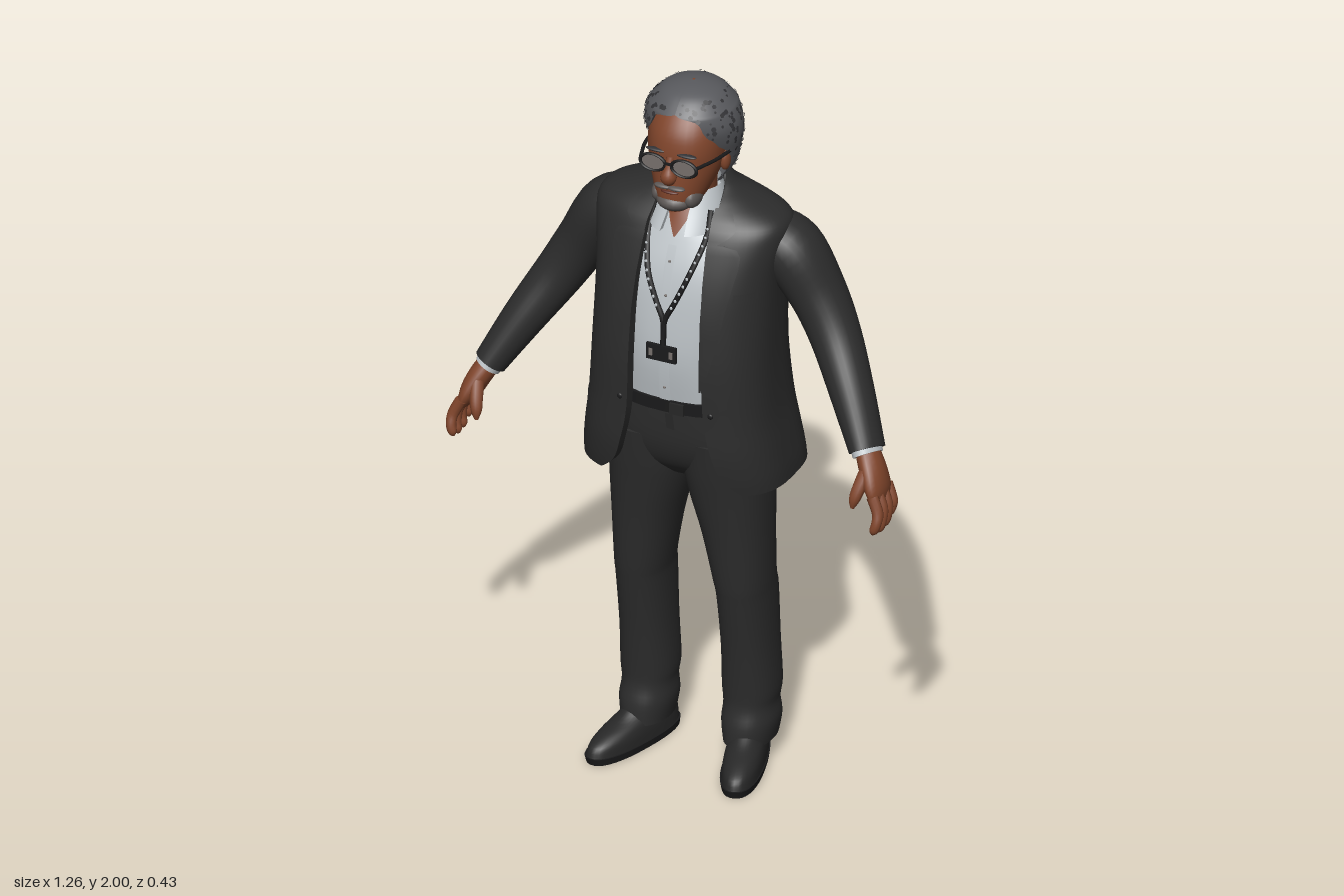
import * as THREE from 'three';
import { mergeGeometries } from 'three/addons/utils/BufferGeometryUtils.js';

const V = (x, y, z) => new THREE.Vector3(x, y, z);
const mat = (name, color) => new THREE.MeshStandardMaterial({ name, color, side: THREE.DoubleSide });

// Surface through rows of points; optionally closed around and capped at the ends
function skin(rows, around = true) {
  const n = rows[0].length, pos = rows.flat(), idx = [];
  for (let i = 0; i < rows.length - 1; i++) {
    for (let j = 0; j < (around ? n : n - 1); j++) {
      const k = (j + 1) % n, a = i * n + j, b = i * n + k;
      idx.push(a, b, a + n, b, b + n, a + n);
    }
  }
  if (around) [0, rows.length - 1].forEach((i) => {
    const base = pos.length, mid = V(0, 0, 0);
    rows[i].forEach((p) => mid.addScaledVector(p, 1 / n));
    pos.push(...rows[i], mid);
    for (let j = 0; j < n; j++) {
      const a = base + j, b = base + (j + 1) % n;
      idx.push(...(i ? [a, b, base + n] : [b, a, base + n]));
    }
  });
  // Turn the faces outward by the sign of the enclosed volume
  const c = V(0, 0, 0);
  pos.forEach((p) => c.addScaledVector(p, 1 / pos.length));
  let vol = 0;
  for (let i = 0; i < idx.length; i += 3) {
    const [p, q, r] = [0, 1, 2].map((k) => pos[idx[i + k]].clone().sub(c));
    vol += p.dot(q.cross(r));
  }
  if (vol < 0) idx.reverse();
  const g = new THREE.BufferGeometry().setFromPoints(pos);
  g.setIndex(idx);
  g.computeVertexNormals();
  return g;
}

// Smoothly resample a list of numeric rows
function fine(rows, k = 4) {
  const out = [], at = (i) => rows[Math.max(0, Math.min(rows.length - 1, i))];
  for (let i = 0; i < rows.length - 1; i++) {
    for (let s = 0; s < k; s++) {
      const t = s / k;
      out.push(rows[i].map((p1, c) => {
        const p0 = at(i - 1)[c], p2 = at(i + 1)[c], p3 = at(i + 2)[c];
        return p1 + 0.5 * t * (p2 - p0 + t * (2 * p0 - 5 * p1 + 4 * p2 - p3 + t * (3 * (p1 - p2) + p3 - p0)));
      }));
    }
  }
  return [...out, rows[rows.length - 1]];
}

// Point on a horizontal superellipse ring [y, halfWidth, zFront, zBack, power]
function ringPoint([y, w, zf, zb, n], a, cx = 0, s = 1) {
  const f = (v) => Math.sign(v) * Math.abs(v) ** (2 / n);
  return V(s * (cx + w * f(Math.cos(a))), y, (zf + zb) / 2 + (zf - zb) / 2 * f(Math.sin(a)));
}
// Closed body; sixth number is the x centre
const loft = (rings, s = 1, seg = 36) => skin(fine(rings).map((r) =>
  Array.from({ length: seg }, (_, j) => ringPoint(r, j / seg * Math.PI * 2, r[5] || 0, s))));

// Half shell from the back opening to the front opening, with turned-in edges
function shell(rings, s, dx = 0, seg = 26) {
  const rows = fine(rings).map((r) => {
    const cut = (e) => Math.acos(Math.min(1, (Math.max(0, e) / r[1]) ** (r[4] / 2)));
    const a0 = -cut(r[6] || 0), a1 = cut(r[5] > 0.001 ? r[5] + dx : 0);
    return Array.from({ length: seg + 1 }, (_, j) => ringPoint(r, a0 + (a1 - a0) * j / seg, 0, s));
  });
  const fold = (j) => skin(rows.map((r) => [r[j], V(r[j].x * 0.97, r[j].y, r[j].z * 0.86)]), false);
  return mergeGeometries([skin(rows, false), fold(0), fold(seg)]);
}

// Front depth of a ringed body at x, y
function frontZ(rings, x, y) {
  let i = 0;
  while (i < rings.length - 2 && rings[i + 1][0] < y) i++;
  const t = (y - rings[i][0]) / (rings[i + 1][0] - rings[i][0]);
  const [, w, zf, zb, n] = rings[i].map((v, c) => v + (rings[i + 1][c] - v) * t);
  return (zf + zb) / 2 + (zf - zb) / 2 * Math.max(0, 1 - Math.abs(x / w) ** n) ** (1 / n);
}
// Thin plate following the front of a body; rows are [y, x0, x1]
const patch = (rings, rows, off = 0.006, s = 1, dx = 0) => skin(fine(rows, 3).map(([y, x0, x1]) =>
  Array.from({ length: 7 }, (_, j) => {
    const x = x0 + (x1 - x0) * j / 6 + dx;
    return V(s * x, y, frontZ(rings, x, y) + off);
  })), false);

// Limb along points [x, y, z, radiusAcross, radiusDeep]
function limb(pts, s = 1, seg = 16, k = 4) {
  const f = fine(pts, k), P = f.map((p) => V(p[0], p[1], p[2]));
  return skin(f.map((p, i) => {
    const T = P[Math.min(i + 1, P.length - 1)].clone().sub(P[Math.max(i - 1, 0)]).normalize();
    const N = T.clone().cross(V(0, 0, 1)).normalize(), B = N.clone().cross(T);
    return Array.from({ length: seg }, (_, j) => {
      const a = j / seg * Math.PI * 2;
      const q = P[i].clone().addScaledVector(N, p[3] * Math.cos(a)).addScaledVector(B, p[4] * Math.sin(a));
      return q.setX(q.x * s);
    });
  }));
}
const tube = (pts, r) => new THREE.TubeGeometry(new THREE.CatmullRomCurve3(pts), 20, r, 6);
const ball = (x, y, z, a, b, c) => new THREE.SphereGeometry(1, 20, 14).scale(a, b, c).translate(x, y, z);
const box = (x, y, z, a, b, c) => new THREE.BoxGeometry(a, b, c).translate(x, y, z);

export function createModel() {
  const root = new THREE.Group();
  root.name = 'suitedMan';
  const suit = mat('suit', 0x2c2c2c), shirt = mat('shirt', 0xbcc2c6), skinTone = mat('skin', 0x80452b);
  const hair = mat('hair', 0x58595d), fleck = mat('hairFleck', 0x333336), beard = mat('beard', 0x5b5654);
  const black = mat('black', 0x1b1b1c), shoe = mat('shoe', 0x272727), lens = mat('lens', 0x77706c);
  const lip = mat('lip', 0x59291f);
  const add = (name, geo, m) => {
    const mesh = new THREE.Mesh(geo, m);
    mesh.name = name;
    root.add(mesh);
  };

  // Body profiles
  const jacket = [
    [0.885, 0.285, 0.19, -0.21, 3, 0.2, 0.03], [0.93, 0.282, 0.2, -0.205, 3, 0.155, 0.025],
    [1.0, 0.272, 0.21, -0.195, 3, 0.13, 0.015], [1.1, 0.258, 0.212, -0.18, 3, 0.11, 0],
    [1.25, 0.25, 0.215, -0.17, 2.8, 0.104, 0], [1.4, 0.25, 0.2, -0.175, 2.6, 0.102, 0],
    [1.5, 0.256, 0.175, -0.175, 2.6, 0.098, 0], [1.58, 0.268, 0.145, -0.165, 2.5, 0.094, 0],
    [1.625, 0.266, 0.122, -0.152, 2.4, 0.092, 0], [1.652, 0.236, 0.1, -0.138, 2.3, 0.09, 0],
    [1.678, 0.17, 0.075, -0.122, 2.2, 0.088, 0], [1.702, 0.115, 0.055, -0.105, 2, 0.082, 0],
    [1.735, 0.085, 0.035, -0.085, 2, 0.07, 0]];
  const shirtRings = [[1.1, 0.2, 0.165, -0.13, 2.4], [1.25, 0.18, 0.185, -0.13, 2.4], [1.4, 0.2, 0.175, -0.13, 2.4],
    [1.5, 0.2, 0.155, -0.13, 2.4], [1.58, 0.16, 0.122, -0.12, 2.2], [1.64, 0.092, 0.09, -0.09, 2], [1.68, 0.072, 0.065, -0.07, 2]];
  const shirtZ = (x, y) => frontZ(shirtRings, x, y);

  // Shirt, neck and trouser top
  add('shirt', loft(shirtRings), shirt);
  add('shirtPlacket', patch(shirtRings, [[1.13, -0.015, 0.015], [1.35, -0.015, 0.015], [1.57, -0.012, 0.012]], 0.004), shirt);
  for (let i = 0; i < 5; i++) add('shirtButton', ball(0, 1.17 + i * 0.09, shirtZ(0, 1.17 + i * 0.09) + 0.005, 0.004, 0.004, 0.003), lens);
  add('openNeck', patch(shirtRings, [[1.59, -0.002, 0.002], [1.63, -0.024, 0.024], [1.67, -0.042, 0.042]], 0.005), skinTone);
  add('neck', loft([[1.58, 0.065, 0.075, -0.06, 2], [1.68, 0.062, 0.08, -0.065, 2], [1.76, 0.068, 0.1, -0.06, 2]]), skinTone);
  add('trouserSeat', loft([[0.87, 0.14, 0.09, -0.1, 2.2], [0.92, 0.2, 0.135, -0.132, 2.5],
    [1.0, 0.215, 0.16, -0.15, 2.6], [1.12, 0.2, 0.166, -0.14, 2.5]]), suit);
  add('belt', loft([[1.095, 0.203, 0.175, -0.142, 2.5], [1.13, 0.203, 0.177, -0.142, 2.5]]), black);
  add('beltBuckle', box(0.035, 1.112, 0.178, 0.04, 0.032, 0.008), shoe);
  add('fly', patch([[0.84, 0.21, 0.12, -0.1, 2.5], [1.1, 0.21, 0.171, -0.14, 2.5]], [[0.95, -0.002, 0.003], [1.0, -0.002, 0.02], [1.09, -0.002, 0.02]], 0.004), suit);

  for (const s of [1, -1]) {
    const side = s > 0 ? 'left' : 'right', dx = s * 0.014;
    const addSide = (name, geo, m) => add(side + name, geo, m);

    // Jacket half with lapel, pocket and button
    addSide('Jacket', shell(jacket, s, dx), suit);
    addSide('Lapel', patch(jacket, [[1.2, 0.102, 0.106], [1.3, 0.1, 0.135], [1.45, 0.096, 0.16], [1.575, 0.09, 0.178], [1.6, 0.088, 0.135]], 0.009, s, dx), suit);
    addSide('JacketCollar', patch(jacket, [[1.6, 0.09, 0.115], [1.63, 0.088, 0.152], [1.655, 0.084, 0.14], [1.675, 0.083, 0.12]], 0.009, s, dx), suit);
    addSide('PocketFlap', patch(jacket, [[1.07, 0.16, 0.235], [1.105, 0.16, 0.235]], 0.007, s), suit);
    addSide('JacketButton', ball(s * (0.13 + dx), 1.13, frontZ(jacket, 0.13, 1.13) + 0.002, 0.008, 0.008, 0.004), black);
    addSide('ShirtCollar', shell([[1.605, 0.1, 0.142, -0.07, 2, 0.035], [1.66, 0.088, 0.098, -0.08, 2, 0.03], [1.705, 0.074, 0.07, -0.075, 2, 0.04]], s), shirt);

    // Sleeve, cuff and hand
    addSide('Sleeve', limb([[0.19, 1.58, -0.038, 0.062, 0.085], [0.26, 1.535, -0.042, 0.084, 0.094], [0.335, 1.42, -0.045, 0.074, 0.082],
      [0.398, 1.315, -0.022, 0.067, 0.071], [0.472, 1.195, 0.035, 0.057, 0.063], [0.542, 1.072, 0.092, 0.044, 0.057]], s, 28, 5), suit);
    addSide('Cuff', limb([[0.53, 1.09, 0.085, 0.037, 0.049], [0.547, 1.062, 0.097, 0.036, 0.049]], s, 24), shirt);
    addSide('Palm', limb([[0.54, 1.075, 0.09, 0.03, 0.036], [0.566, 1.03, 0.108, 0.031, 0.047], [0.586, 0.985, 0.12, 0.026, 0.055],
      [0.597, 0.955, 0.124, 0.014, 0.049]], s), skinTone);
    [0, 1, 2, 3].forEach((i) => {
      const o = (i - 1.5) * 0.029, d = [0.018, 0.002, 0, 0.008][i], z = 0.122 + o;
      addSide('Finger', limb([[0.592, 0.98, z, 0.016, 0.015], [0.611, 0.94, z + 0.008, 0.0155, 0.0145],
        [0.612, 0.905 + d, z + 0.014 + o * 0.1, 0.014, 0.013], [0.606, 0.885 + d, z + 0.018 + o * 0.1, 0.012, 0.011],
        [0.603, 0.875 + d, z + 0.019 + o * 0.1, 0.004, 0.004]], s, 10), skinTone);
    });
    addSide('Thumb', limb([[0.562, 1.04, 0.13, 0.02, 0.019], [0.551, 0.995, 0.16, 0.018, 0.017], [0.544, 0.965, 0.174, 0.015, 0.014],
      [0.541, 0.942, 0.18, 0.005, 0.005]], s, 10), skinTone);

    // Trouser leg
    addSide('TrouserLeg', loft([[0.065, 0.064, 0.06, -0.13, 2.2, 0.147], [0.12, 0.073, 0.056, -0.134, 2.2, 0.147],
      [0.17, 0.069, 0.044, -0.128, 2.2, 0.146], [0.22, 0.074, 0.045, -0.135, 2.2, 0.146], [0.35, 0.071, 0.06, -0.13, 2.2, 0.146],
      [0.5, 0.072, 0.085, -0.122, 2.2, 0.145], [0.56, 0.076, 0.095, -0.108, 2.2, 0.142], [0.7, 0.091, 0.112, -0.108, 2.2, 0.129],
      [0.82, 0.107, 0.13, -0.118, 2.3, 0.114], [0.9, 0.112, 0.143, -0.13, 2.4, 0.107], [1.0, 0.112, 0.157, -0.145, 2.4, 0.104]], s), suit);

    // Shoe, turned outward
    const turn = (g) => g.rotateY(s * 0.27).translate(s * 0.153, 0, 0);
    addSide('ShoeSole', turn(loft([[0, 0.053, 0.2, -0.137, 2.4], [0.02, 0.056, 0.206, -0.139, 2.4]])), black);
    addSide('Shoe', turn(loft([[0.02, 0.053, 0.202, -0.135, 2.3], [0.045, 0.052, 0.19, -0.133, 2.2], [0.065, 0.049, 0.15, -0.131, 2.1],
      [0.085, 0.045, 0.085, -0.128, 2], [0.11, 0.042, 0.04, -0.12, 2]])), shoe);

    // Ear, brow, moustache, beard side and spectacles
    addSide('Ear', ball(s * 0.1, 1.795, 0.022, 0.014, 0.03, 0.018), skinTone);
    addSide('Brow', ball(s * 0.043, 1.849, 0.138, 0.03, 0.005, 0.01), fleck);
    addSide('Eye', ball(s * 0.044, 1.819, 0.138, 0.017, 0.009, 0.01), shirt);
    addSide('Moustache', ball(s * 0.018, 1.752, 0.148, 0.026, 0.007, 0.013), beard);
    addSide('BeardSide', ball(s * 0.046, 1.712, 0.1, 0.022, 0.03, 0.04), beard);
    const rim = (g) => g.scale(1, 0.66, 1).translate(s * 0.045, 1.82, 0.156);
    addSide('SpectacleRim', rim(new THREE.TorusGeometry(0.036, 0.005, 6, 24)), black);
    addSide('Lens', rim(new THREE.CircleGeometry(0.035, 24)), lens);
    addSide('SpectacleArm', tube([V(s * 0.08, 1.828, 0.155), V(s * 0.103, 1.825, 0.08), V(s * 0.113, 1.82, 0.0)], 0.005), black);

    // Lanyard strap resting on the shirt, with a light pattern
    const strap = [[0.08, 1.66], [0.083, 1.6], [0.058, 1.5], [0.025, 1.42], [0.002, 1.37], [0, 1.3]].map(([x, y]) =>
      V(s * x, y, Math.max(shirtZ(x, y), 0.06) + 0.006));
    addSide('LanyardStrap', tube(strap, 0.008), black);
    const line = new THREE.CatmullRomCurve3(strap);
    for (let i = 2; i < 13; i++) {
      const p = line.getPointAt(i / 17);
      addSide('LanyardDot', ball(p.x, p.y, p.z + 0.007, 0.004, 0.005, 0.002), shirt);
    }
  }
  add('breastPocket', patch(jacket, [[1.455, 0.185, 0.235], [1.475, 0.185, 0.235]], 0.007), suit);

  // Badge
  add('badge', box(-0.003, 1.278, 0.191, 0.085, 0.045, 0.01), black);
  for (const x of [-0.032, 0.026]) add('badgeLabel', box(x, 1.278, 0.197, 0.01, 0.02, 0.003), lens);

  // Head and face
  add('head', loft([[1.675, 0.035, 0.14, 0.04, 2], [1.7, 0.06, 0.152, 0, 2.1], [1.75, 0.082, 0.152, -0.05, 2.1], [1.8, 0.098, 0.148, -0.08, 2.1],
    [1.85, 0.104, 0.145, -0.095, 2.2], [1.9, 0.102, 0.132, -0.1, 2.1], [1.95, 0.085, 0.095, -0.085, 2], [1.98, 0.045, 0.045, -0.045, 2]]), skinTone);
  add('nose', limb([[0, 1.84, 0.142, 0.011, 0.01], [0, 1.81, 0.15, 0.013, 0.014], [0, 1.785, 0.155, 0.022, 0.021], [0, 1.768, 0.15, 0.015, 0.014]]), skinTone);
  add('mouth', ball(0, 1.738, 0.147, 0.026, 0.005, 0.011), lip);
  add('beard', ball(0, 1.701, 0.113, 0.05, 0.028, 0.049), beard);
  add('spectacleBridge', box(0, 1.826, 0.16, 0.022, 0.006, 0.006), black);

  // Hair cap with a hairline opening at the front
  const hairRings = [[1.715, 0.07, 0.04, -0.062, 2, 0.068], [1.76, 0.105, 0.05, -0.088, 2, 0.098], [1.82, 0.122, 0.085, -0.112, 2, 0.112],
    [1.86, 0.13, 0.108, -0.12, 2, 0.096], [1.9, 0.13, 0.125, -0.12, 2, 0.077], [1.935, 0.12, 0.124, -0.115, 2, 0.058],
    [1.95, 0.11, 0.116, -0.106, 2, 0], [1.98, 0.08, 0.084, -0.078, 2, 0], [1.995, 0.04, 0.044, -0.04, 2, 0], [2, 0.004, 0.006, -0.002, 2, 0]];
  add('hair', mergeGeometries([1, -1].map((s) => shell(hairRings, s))), hair);

  // Dark flecks scattered over the hair
  let seed = 7;
  const rnd = () => (seed = (seed * 16807) % 2147483647) / 2147483647;
  const flecks = [];
  for (let i = 0; i < 280; i++) {
    const k = rnd() * (hairRings.length - 3), t = k % 1, r0 = hairRings[Math.floor(k)], r1 = hairRings[Math.floor(k) + 1];
    const r = r0.map((v, c) => v + (r1[c] - v) * t), a1 = Math.acos(Math.min(1, r[5] / r[1]));
    const p = ringPoint(r, -Math.PI / 2 + rnd() * (a1 + Math.PI / 2), 0, i % 2 ? 1 : -1);
    const n = p.clone().sub(V(0, 1.87, 0)).normalize();
    const q = new THREE.Quaternion().setFromUnitVectors(V(0, 0, 1), n);
    flecks.push(new THREE.CircleGeometry(0.003 + rnd() * 0.005, 6).applyQuaternion(q).translate(...p.addScaledVector(n, 0.003).toArray()));
  }
  add('hairFlecks', mergeGeometries(flecks), fleck);
  return root;
}
